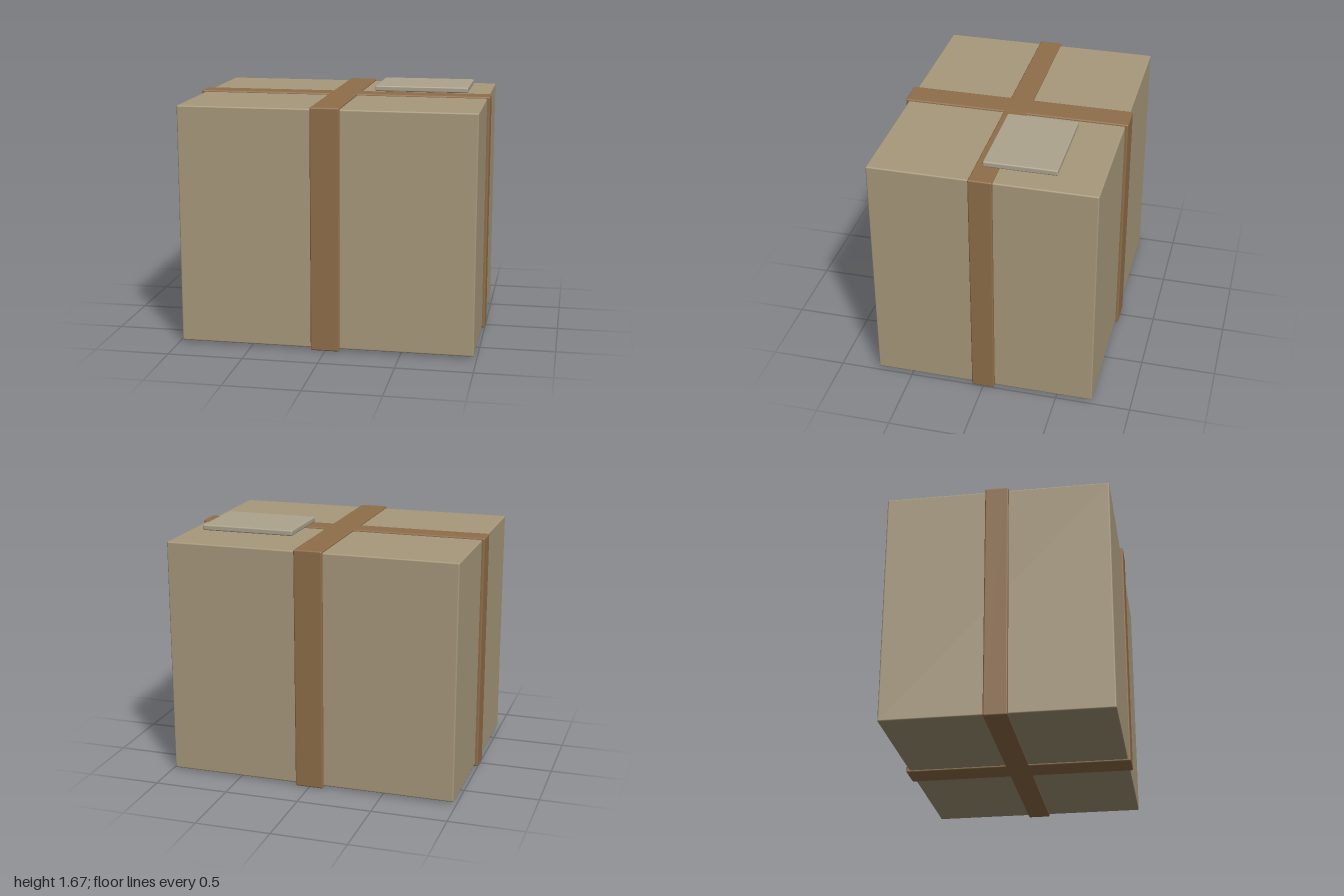
import * as THREE from 'three';
import { RoundedBoxGeometry } from 'three/addons/geometries/RoundedBoxGeometry.js';

const cardboard = new THREE.MeshStandardMaterial({ color: 0xa8997c });
const tape = new THREE.MeshStandardMaterial({ color: 0x8f6e4a });
const paper = new THREE.MeshStandardMaterial({ color: 0xaea48e });

// Softly bevelled block: size, centre, edge radius
function block(name, [w, h, d], [x, y, z], radius, material) {
  const mesh = new THREE.Mesh(new RoundedBoxGeometry(w, h, d, 2, radius), material);
  mesh.name = name;
  mesh.position.set(x, y, z);
  return mesh;
}

export function createModel() {
  const parcel = new THREE.Group();
  parcel.name = 'parcel';
  const midY = 0.81;

  // Carton
  parcel.add(block('carton', [1.96, 1.594, 1.48], [0, midY, 0], 0.01, cardboard));

  // Two bands crossing on the top and bottom; heights differ a hair so faces do not coincide
  parcel.add(block('bandSideToSide', [2, 1.618, 0.155], [0, midY, 0], 0.01, tape));
  parcel.add(block('bandFrontToBack', [0.192, 1.62, 1.52], [0, midY, 0], 0.01, tape));

  // Blank label floating just above the lid
  parcel.add(block('label', [0.635, 0.038, 0.475], [0.528, 1.651, -0.217], 0.009, paper));

  return parcel;
}
